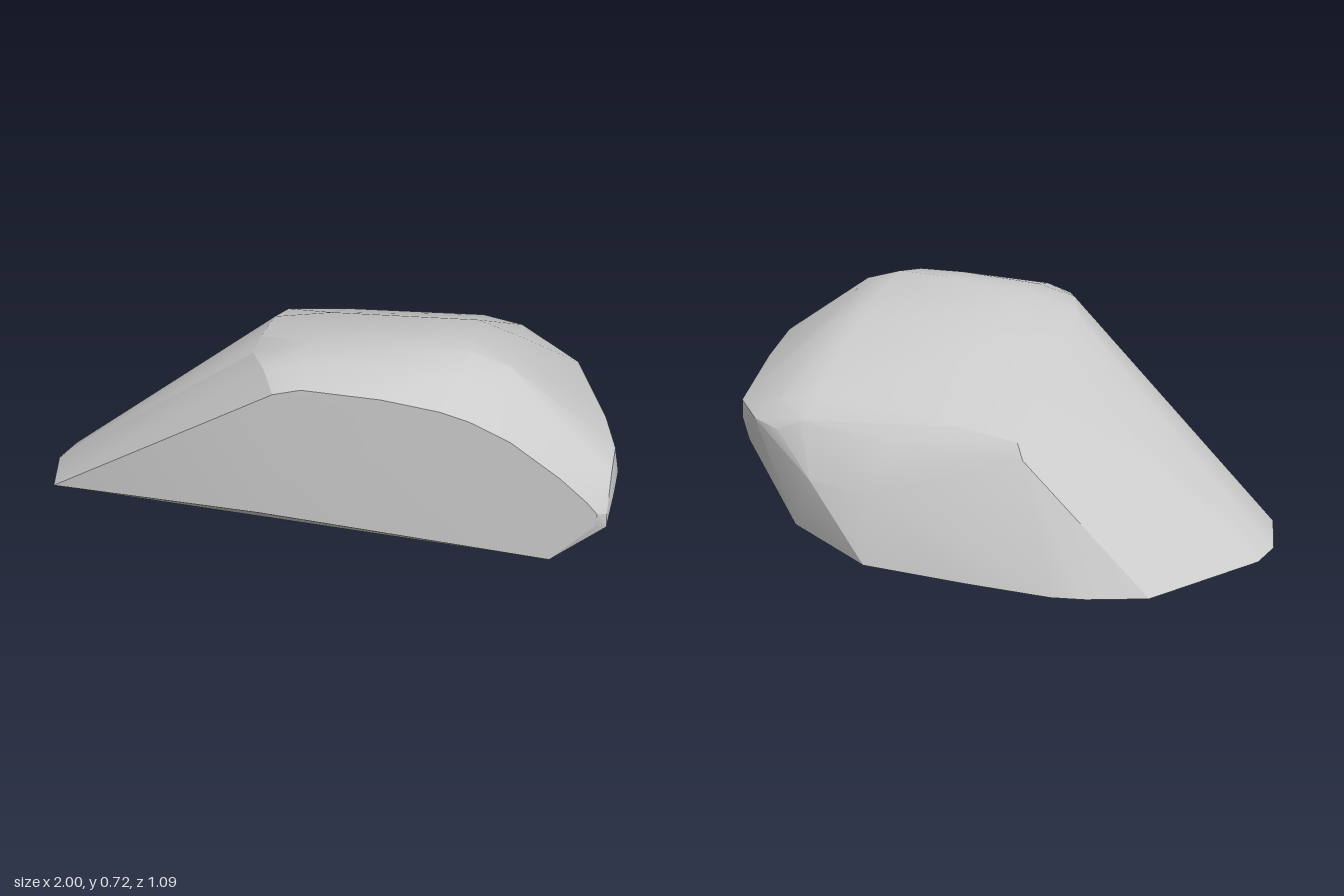
import * as THREE from 'three';
import { ConvexGeometry } from 'three/addons/geometries/ConvexGeometry.js';
import { toCreasedNormals } from 'three/addons/utils/BufferGeometryUtils.js';

// Outline on the ground, [x, z]
const base = [
  [-0.96, 0.25], [-1, 0.07], [-0.97, -0.04], [-0.69, -0.39], [-0.5, -0.47],
  [-0.39, -0.5], [-0.1, -0.525], [0.26, -0.545], [0.6, -0.39],
];

// Cross-sections from front to back: z, then [x, y]
const sections = [
  { z: 0.545, pts: [[-0.14, 0.18], [-0.09, 0.63], [0, 0.655], [0.25, 0.645], [0.43, 0.62], [0.52, 0.595],
    [0.65, 0.535], [0.81, 0.42], [0.9, 0.34], [0.935, 0.3], [0.93, 0.255], [0.8, 0.11]] },
  { z: 0.52, pts: [[0.965, 0.29], [0.968, 0.24]] },
  { z: 0.44, pts: [[-0.14, 0.66], [0, 0.69], [0.3, 0.695], [0.47, 0.685], [0.59, 0.64], [0.97, 0.39], [0.985, 0.32], [0.975, 0.235]] },
  { z: 0.315, pts: [[-0.2, 0.645], [0, 0.705], [0.3, 0.72], [0.5, 0.715], [0.63, 0.67], [0.98, 0.407], [0.997, 0.32]] },
  { z: 0.19, pts: [[-0.2, 0.64], [0, 0.688], [0.5, 0.703], [0.63, 0.655]] },
  { z: 0.1, pts: [[0.95, 0.39], [0.96, 0.32], [0.955, 0.255]] },
  { z: -0.03, pts: [[-0.2, 0.602], [0, 0.635], [0.5, 0.65], [0.63, 0.605]] },
  { z: -0.27, pts: [[0.85, 0.39], [0.855, 0.32], [0.835, 0.235]] },
  { z: -0.36, pts: [[-0.22, 0.465], [0, 0.485], [0.5, 0.503], [0.64, 0.475]] },
  { z: -0.39, pts: [[-0.25, 0.42], [0.73, 0.395]] },
  { z: -0.43, pts: [[0.2, 0.42], [0.53, 0.44], [0.62, 0.39]] },
  { z: -0.5, pts: [[0.25, 0.25], [0.47, 0.26]] },
];

export function createModel() {
  const group = new THREE.Group();
  group.name = 'boulder';

  // Faceted stone wrapped around the sections, with softened shallow edges
  const points = base.map(([x, z]) => new THREE.Vector3(x, 0, z));
  for (const { z, pts } of sections) {
    for (const [x, y] of pts) points.push(new THREE.Vector3(x, y, z));
  }
  const geometry = toCreasedNormals(new ConvexGeometry(points), 0.4);
  const stone = new THREE.Mesh(geometry, new THREE.MeshStandardMaterial({ color: 0xcccccc }));
  stone.name = 'stone';
  group.add(stone);
  return group;
}
